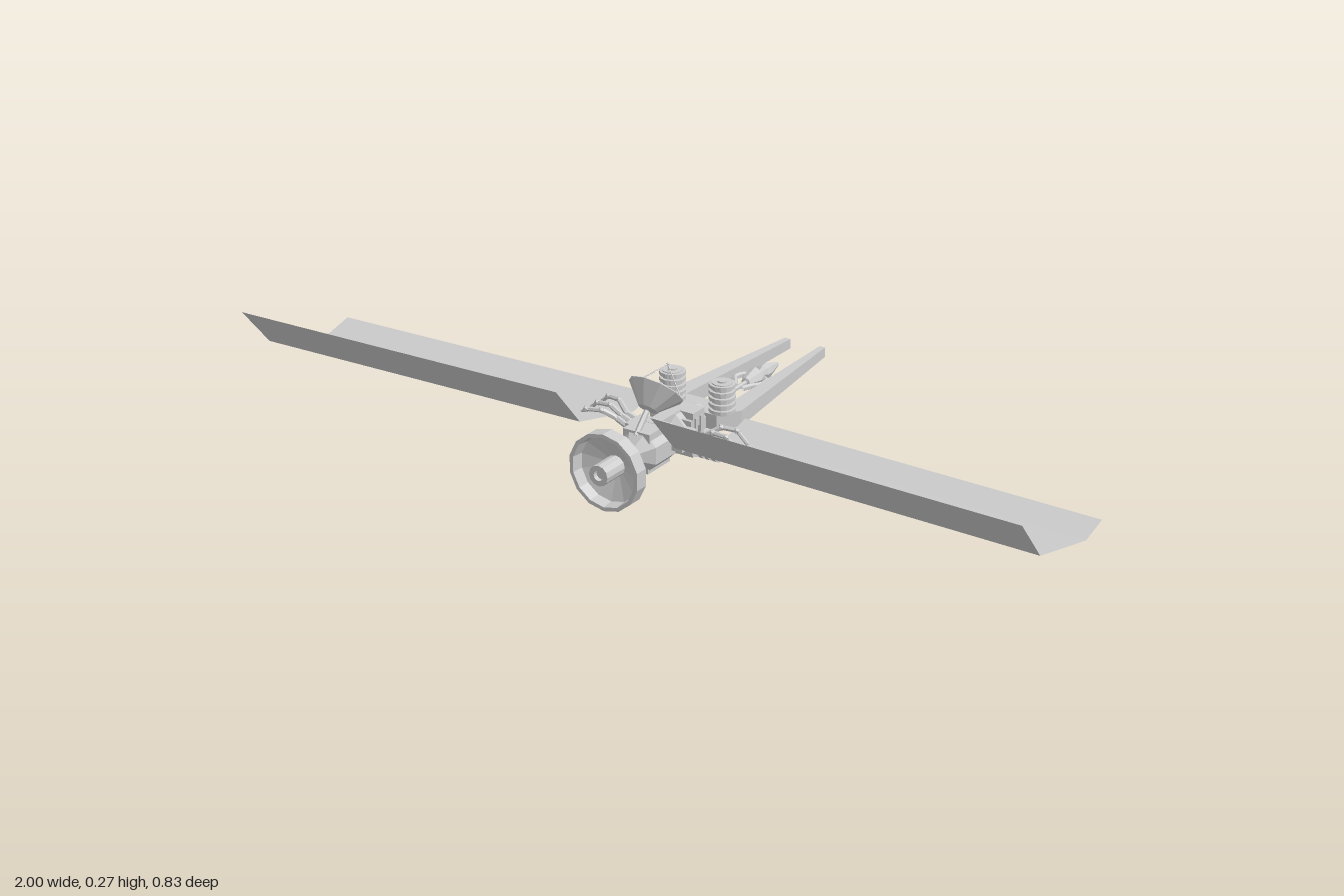
import * as THREE from 'three';

const mat = new THREE.MeshStandardMaterial({ color: 0xcccccc, flatShading: true, side: THREE.DoubleSide });

export function createModel() {
  const root = new THREE.Group();
  const add = (name, geo, x = 0, y = 0, z = 0, parent = root) => {
    const m = new THREE.Mesh(geo, mat);
    m.name = name;
    m.position.set(x, y, z);
    parent.add(m);
    return m;
  };
  const box = (name, w, h, d, x, y, z) => add(name, new THREE.BoxGeometry(w, h, d), x, y, z);
  const lathe = (pts, n) => new THREE.LatheGeometry(pts.map(p => new THREE.Vector2(...p)), n);
  // Lathe with its axis along z; points are [radius, z]
  const latheZ = (pts, n) => lathe(pts, n).rotateX(Math.PI / 2);
  // Straight bar between two points
  const bar = (name, a, b, r, n = 6) => {
    const p = new THREE.Vector3(...a), q = new THREE.Vector3(...b);
    const m = add(name, new THREE.CylinderGeometry(r, r, p.distanceTo(q), n));
    m.position.copy(p).add(q).multiplyScalar(0.5);
    m.quaternion.setFromUnitVectors(new THREE.Vector3(0, 1, 0), q.sub(p).normalize());
    return m;
  };
  // Outline drawn in x,z and extruded upward from y0
  const plate = (name, pts, y0, h) => {
    const s = new THREE.Shape(pts.map(([x, z]) => new THREE.Vector2(x, -z)));
    return add(name, new THREE.ExtrudeGeometry(s, { depth: h, bevelEnabled: false }).rotateX(-Math.PI / 2), 0, y0, 0);
  };
  // Ribbed tank standing along y, centred on the origin
  const ribbed = (r, len, ribs) => {
    const core = r * 0.8, step = len / ribs, pts = [[0, -len / 2], [core, -len / 2]];
    for (let i = 0; i < ribs; i++) {
      const y = -len / 2 + i * step;
      pts.push([core, y + step * 0.2], [r, y + step * 0.25], [r, y + step * 0.8], [core, y + step * 0.85]);
    }
    pts.push([core, len / 2], [0, len / 2]);
    return lathe(pts, 14);
  };

  // Main dish: deep rim, cone back and central feed
  add('mainDish', latheZ([[0.015, 0.31], [0.02, 0.31], [0.09, 0.365], [0.09, 0.398],
    [0.081, 0.398], [0.078, 0.37], [0.024, 0.352], [0, 0.352]], 14), 0, 0.104, 0);
  add('dishFeed', latheZ([[0, 0.34], [0.024, 0.34], [0.024, 0.416], [0.012, 0.416], [0.012, 0.405], [0, 0.405]], 12), 0, 0.104, 0);

  // Eight-sided hull
  add('hull', latheZ([[0, 0.05], [0.04, 0.05], [0.05, 0.085], [0.05, 0.15], [0.036, 0.162],
    [0.036, 0.185], [0.052, 0.195], [0.052, 0.27], [0.02, 0.3], [0.02, 0.315], [0, 0.315]], 8).rotateZ(Math.PI / 8), 0, 0.106, 0);
  box('bellyBox', 0.06, 0.022, 0.085, 0, 0.071, 0.232);
  box('topBox', 0.07, 0.025, 0.08, 0, 0.142, 0.235);
  box('rearTopBox', 0.1, 0.035, 0.045, 0, 0.137, 0.107);
  box('hullSpine', 0.03, 0.03, 0.1, 0, 0.14, 0.17);
  for (const z of [0.1, 0.12, 0.14]) box('hullRib', 0.108, 0.06, 0.008, 0, 0.112, z);

  // Rear deck joining the rails
  plate('rearDeck', [[-0.1, 0], [-0.1, 0.012], [-0.07, 0.066], [0.07, 0.066], [0.1, 0.012], [0.1, 0]], 0.095, 0.037);
  add('deckUnderside', new THREE.CylinderGeometry(0.07, 0.05, 0.022, 8), 0, 0.085, 0.04);

  for (const s of [-1, 1]) {
    // Tapered tail rail
    const rail = plate('tailRail', [[0.055, 0.01], [0.1, 0.01], [0.055, -0.415], [0.04, -0.415]], -0.5, 1);
    const rp = rail.geometry.attributes.position;
    for (let i = 0; i < rp.count; i++) {
      const t = (0.01 - rp.getZ(i)) / 0.425;
      rp.setXYZ(i, rp.getX(i) * s, rp.getY(i) > 0.5 ? 0.632 - t * 0.007 : 0.595 + t * 0.006, rp.getZ(i));
    }
    if (s < 0) { // keep outward winding on the mirrored rail
      for (let i = 0; i < rp.count; i += 3) {
        const a = new THREE.Vector3().fromBufferAttribute(rp, i + 1);
        const b = new THREE.Vector3().fromBufferAttribute(rp, i + 2);
        rp.setXYZ(i + 1, b.x, b.y, b.z);
        rp.setXYZ(i + 2, a.x, a.y, a.z);
      }
    }
    rail.geometry.computeVertexNormals();

    // Ribbed tank on the deck
    add('ribbedTank', ribbed(0.03, 0.073, 5), s * 0.066, 0.166, 0.038);
    add('tankCap', new THREE.CylinderGeometry(0.011, 0.011, 0.006, 10), s * 0.066, 0.203, 0.038);

    // Thin bent wing: profile of [z, y], shifted slightly from root to tip
    const prof = [[0.05, 0.122], [0.12, 0.104], [0.325, 0.155], [0.41, 0.255]];
    const pos = [], idx = [];
    prof.forEach(([z, y], i) => {
      pos.push(s * (0.125 - i * 0.001), y + 0.006, z - 0.014, s, y, z);
      if (i < 3) idx.push(2 * i, 2 * i + 2, 2 * i + 1, 2 * i + 1, 2 * i + 2, 2 * i + 3);
    });
    const g = new THREE.BufferGeometry();
    g.setAttribute('position', new THREE.Float32BufferAttribute(pos, 3));
    g.setIndex(s > 0 ? idx : idx.reverse());
    g.computeVertexNormals();
    add('wing', g);

    // Arm with three fingers holding the wing
    box('armMount', 0.03, 0.035, 0.06, s * 0.06, 0.115, 0.18);
    for (const k of [-1, 0, 1]) {
      const p = [[0.06, 0.115, 0.18 + k * 0.022], [0.105, 0.132, 0.18 + k * 0.018],
        [0.135, 0.15, 0.18 + k * 0.034], [0.17, 0.148, 0.18 + k * 0.042], [0.198, 0.122, 0.18 + k * 0.042]]
        .map(([x, y, z]) => [s * x, y, z]);
      for (let i = 0; i < 4; i++) bar('finger', p[i], p[i + 1], 0.007 - i * 0.0008);
      for (const q of p.slice(1, 4)) add('fingerJoint', new THREE.IcosahedronGeometry(0.008), ...q);
    }

    // Curved tail claw between the rails
    const claw = new THREE.CatmullRomCurve3([[0.008, -0.21], [0.032, -0.195], [0.037, -0.17], [0.022, -0.15], [0.012, -0.125]]
      .map(([x, z]) => new THREE.Vector3(s * x, 0.114, z)));
    add('tailClaw', new THREE.TubeGeometry(claw, 10, 0.007, 6));
  }

  // Central tail probe
  bar('tailRod', [0, 0.114, 0.01], [0, 0.114, -0.22], 0.006);
  add('tailProbe', latheZ([[0, -0.3], [0.006, -0.29], [0.018, -0.245], [0.018, -0.23], [0.008, -0.215], [0.025, -0.2], [0.012, -0.16], [0, -0.155]], 8), 0, 0.114, 0);

  // Small tilted dish with a feed on three struts
  const dish = new THREE.Group();
  dish.name = 'upperDish';
  dish.position.set(0, 0.224, 0.198);
  dish.rotation.x = -Math.PI / 4;
  root.add(dish);
  add('upperBowl', lathe([[0, -0.05], [0.022, -0.046], [0.065, 0], [0.063, 0.002], [0.02, -0.04], [0, -0.044]], 10), 0, 0, 0, dish);
  for (let i = 0; i < 4; i++) {
    const a = i * Math.PI / 2;
    const strut = bar('feedStrut', [0.063 * Math.sin(a), 0, 0.063 * Math.cos(a)], [0, 0.064, 0], 0.0013, 4);
    dish.add(strut);
  }
  add('feedTip', new THREE.IcosahedronGeometry(0.004), 0, 0.064, 0, dish);
  bar('dishStand', [0, 0.188, 0.233], [0, 0.145, 0.275], 0.007);

  // Ribbed drum slung under the deck, with its bracket
  add('lowerDrum', ribbed(0.032, 0.12, 7).rotateZ(Math.PI / 2), 0, 0.034, 0.027);
  bar('drumAxle', [-0.066, 0.034, 0.027], [0.066, 0.034, 0.027], 0.012, 10);
  const wedge = new THREE.Shape([[0.115, 0.085], [0.1, 0.033], [0.075, 0.033], [0.06, 0.085]].map(p => new THREE.Vector2(-p[0], p[1])));
  add('drumBracket', new THREE.ExtrudeGeometry(wedge, { depth: 0.06, bevelEnabled: false }).rotateY(Math.PI / 2), -0.03, 0, 0);
  box('drumArm', 0.04, 0.012, 0.04, 0, 0.04, 0.068);

  return root;
}
